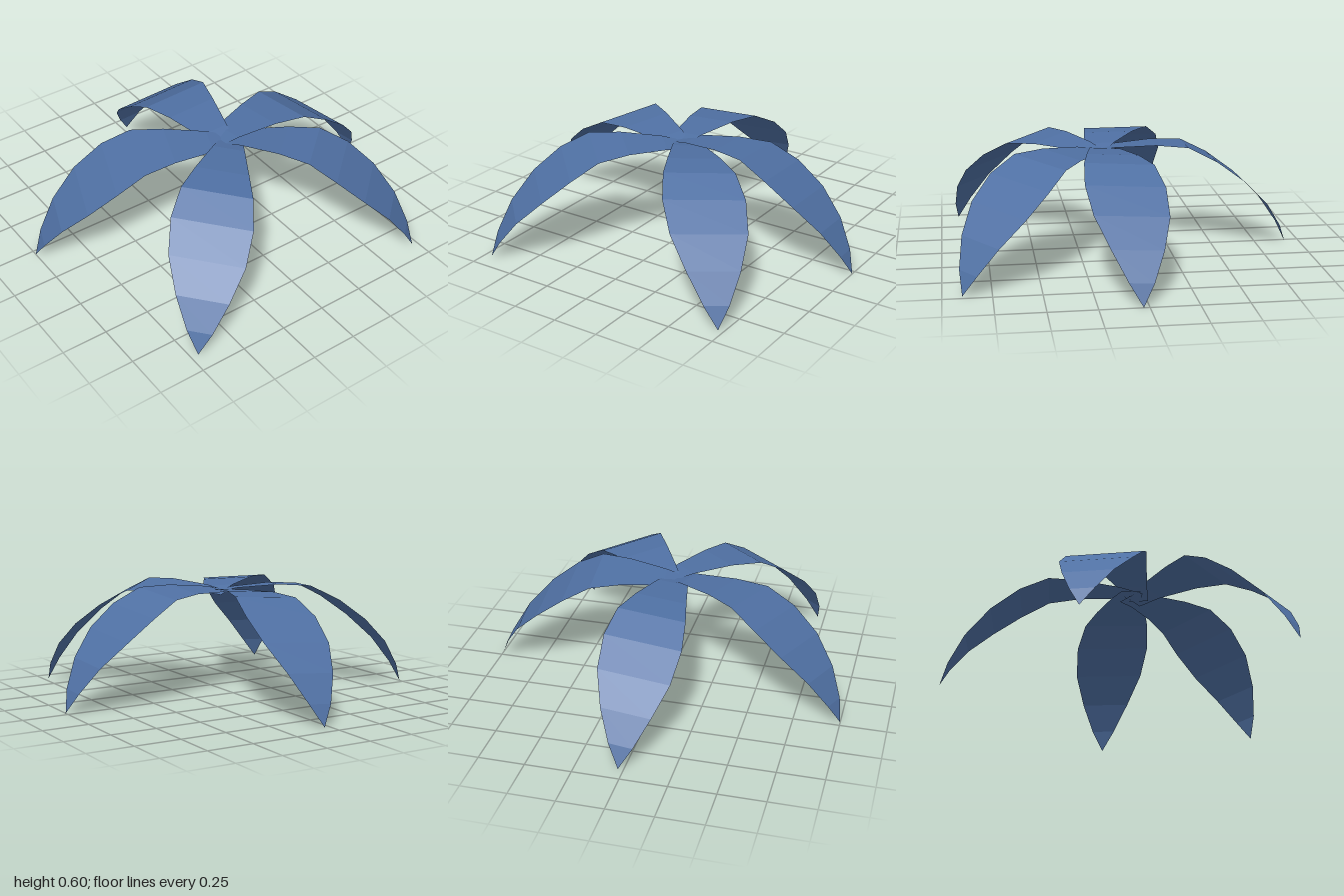
import * as THREE from 'three';

// Leaf cross-sections: [distance from base, height, half width]
const STATIONS = [
  [-0.03, 0.55, 0.055], [0.1, 0.575, 0.085], [0.32, 0.59, 0.14],
  [0.49, 0.58, 0.185], [0.645, 0.5, 0.21], [0.8, 0.385, 0.195],
  [0.935, 0.25, 0.135], [1.025, 0.11, 0.065], [1.07, 0, 0],
];
const ROLL = 0.08; // right-hand edge sits slightly higher

// Base and tip of each leaf on the ground plane: [baseX, baseZ, tipX, tipZ]
const LEAVES = {
  backLeaf: [0.11, 0.05, 0.03, -1.0],
  backLeftLeaf: [0.12, -0.02, 0.9, -0.72],
  frontLeftLeaf: [0.16, -0.03, 0.9, 0.71],
  frontLeaf: [0.155, -0.01, -0.22, 1.0],
  rightLeaf: [0.15, 0.015, -0.92, -0.03],
};

// Arched strip lofted through the cross-sections, coming to a point
function leafGeometry([bx, bz, tx, tz]) {
  const length = Math.hypot(tx - bx, tz - bz);
  const fx = (tx - bx) / length, fz = (tz - bz) / length;
  const scale = length / STATIONS[STATIONS.length - 1][0];
  const positions = [], index = [];
  STATIONS.forEach(([r, y, w], i) => {
    for (const side of [-1, 1]) {
      positions.push(
        bx + fx * r * scale - fz * w * side,
        y + ROLL * w * side,
        bz + fz * r * scale + fx * w * side,
      );
    }
    if (i === 0) return;
    const a = 2 * i - 2; // previous left, previous right, left, right
    index.push(a, a + 1, a + 2);
    if (w > 0) index.push(a + 1, a + 3, a + 2);
  });
  const geometry = new THREE.BufferGeometry();
  geometry.setAttribute('position', new THREE.Float32BufferAttribute(positions, 3));
  // Wind the faces so that their fronts look up
  for (let i = 0; i < index.length; i += 3) {
    [index[i + 1], index[i + 2]] = [index[i + 2], index[i + 1]];
  }
  geometry.setIndex(index);
  geometry.computeVertexNormals();
  return geometry;
}

export function createModel() {
  const group = new THREE.Group();
  group.name = 'leafCrown';
  const material = new THREE.MeshStandardMaterial({
    color: 0x4f70a3, flatShading: true, side: THREE.DoubleSide,
  });
  for (const [name, spec] of Object.entries(LEAVES)) {
    const leaf = new THREE.Mesh(leafGeometry(spec), material);
    leaf.name = name;
    group.add(leaf);
  }
  return group;
}
